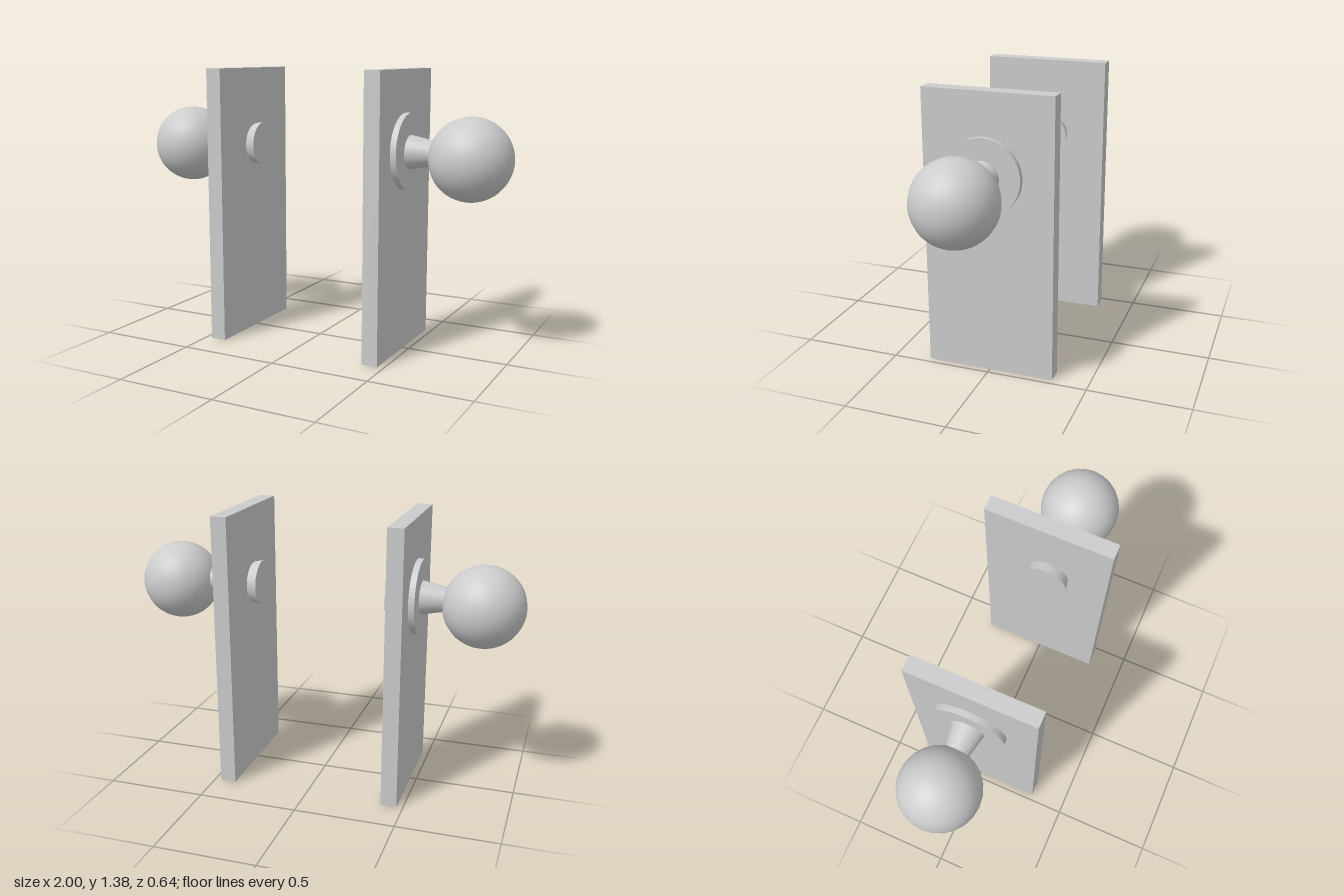
import * as THREE from 'three';

const KNOB_Y = 0.99;
const KNOB_Z = 0.015;

export function createModel() {
  const model = new THREE.Group();
  model.name = 'pairOfDoorKnobs';
  const material = new THREE.MeshStandardMaterial({ color: 0xcccccc });

  const add = (parent, name, geometry, x, y, z) => {
    const mesh = new THREE.Mesh(geometry, material);
    mesh.name = name;
    mesh.position.set(x, y, z);
    parent.add(mesh);
  };

  // Round part lying along x, from x0 (radius r0) to x1 (radius r1)
  const roundAlongX = (x0, r0, x1, r1) =>
    new THREE.CylinderGeometry(r1, r0, x1 - x0, 48).rotateZ(-Math.PI / 2);

  // One half; the other is the same turned half way round the upright axis
  for (const [name, turn] of [['leftHandle', 0], ['rightHandle', Math.PI]]) {
    const handle = new THREE.Group();
    handle.name = name;
    handle.rotation.y = turn;

    // Upright backing plate
    add(handle, 'plate', new THREE.BoxGeometry(0.08, 1.385, 0.64), 0.428, 0.6925, 0);

    // Flat disc on the outer face
    add(handle, 'rosette', roundAlongX(0.46, 0.185, 0.498, 0.185), 0.479, 0.993, KNOB_Z);

    // Tapered spindle running through the plate into the knob
    add(handle, 'spindle', roundAlongX(0.338, 0.115, 0.64, 0.055), 0.489, KNOB_Y, KNOB_Z);

    // Ball knob
    add(handle, 'knob', new THREE.SphereGeometry(0.2, 24, 32), 0.8, 0.97, 0.017);

    model.add(handle);
  }
  return model;
}
